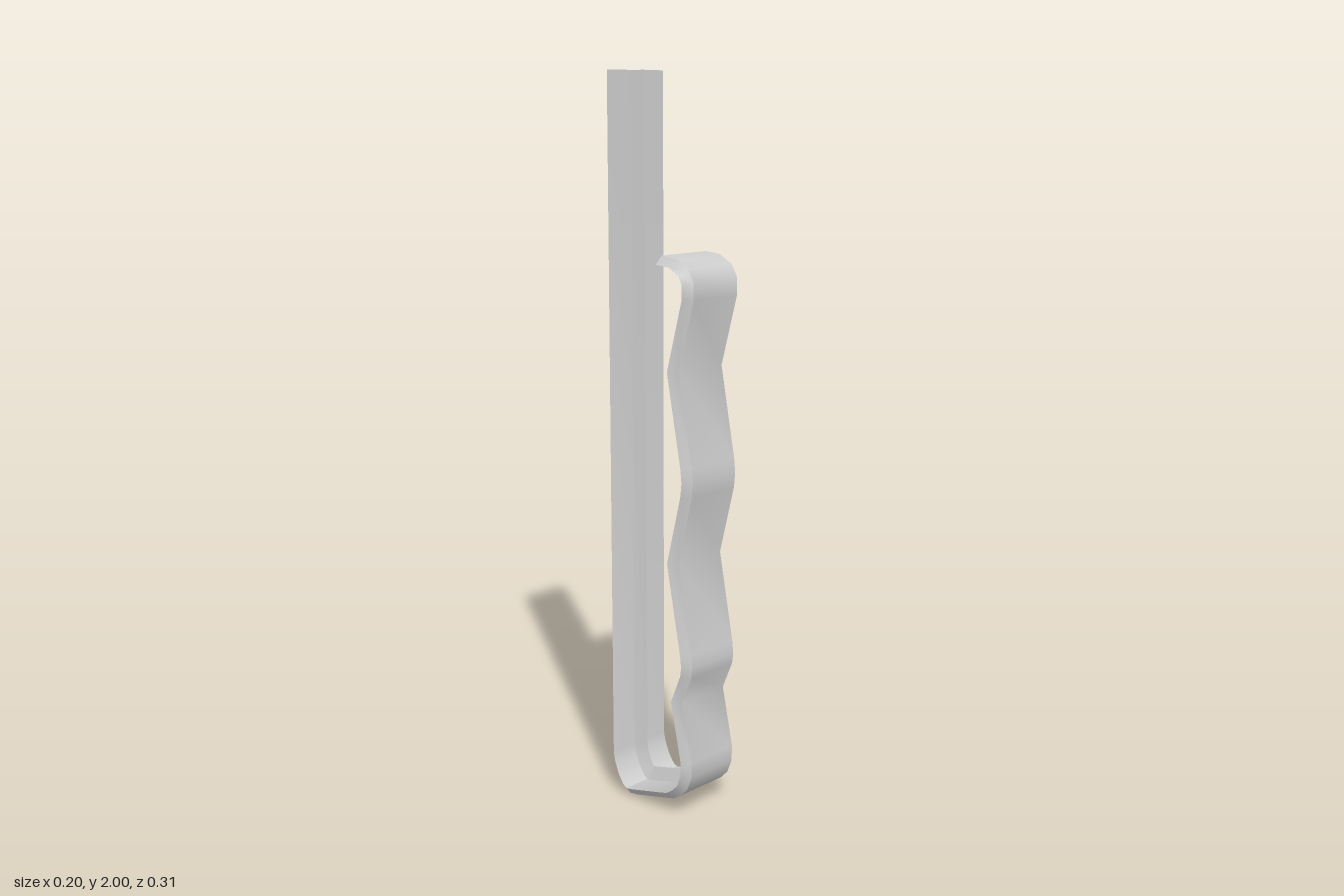
import * as THREE from 'three';
import { toCreasedNormals } from 'three/addons/utils/BufferGeometryUtils.js';

// Outer line of the bent strip as [z, y]: lip, wavy front arm, bottom bend, back arm
const PATH = [
  [0.043, 1.54], [0.095, 1.536], [0.138, 1.513], [0.157, 1.48],        // lip curl
  [0.157, 1.435], [0.104, 1.245],
  [0.153, 1.0], [0.157, 0.96], [0.153, 0.92], [0.104, 0.73],           // waves
  [0.153, 0.485], [0.157, 0.45], [0.153, 0.42], [0.119, 0.34],
  [0.156, 0.175], [0.155, 0.13], [0.139, 0.09], [0.115, 0.065], [0.088, 0.046], // front bend
  [-0.06, 0.005], [-0.088, 0.0], [-0.113, 0.015], [-0.135, 0.045], [-0.152, 0.085],
  [-0.158, 0.115], [-0.158, 2.0],                                     // back arm
].map(([z, y]) => new THREE.Vector2(z, y));

// Mitred inward direction at each path point
const MITRE = PATH.map((p, i) => {
  const normal = (a, b) => {
    const t = b.clone().sub(a).normalize();
    return new THREE.Vector2(t.y, -t.x);
  };
  const before = i > 0 ? normal(PATH[i - 1], p) : null;
  const after = i < PATH.length - 1 ? normal(p, PATH[i + 1]) : null;
  if (!before || !after) return before || after;
  return before.clone().add(after).divideScalar(1 + before.dot(after));
});

// Sweep a section of [x, depth] points along part of the path, with end caps
function sweep(name, section, from, to) {
  const n = section.length, positions = [], index = [];
  for (let i = from; i <= to; i++) {
    for (const [x, d] of section) {
      positions.push(x, PATH[i].y + MITRE[i].y * d, PATH[i].x + MITRE[i].x * d);
    }
  }
  const rings = to - from;
  for (let i = 0; i < rings; i++) {
    for (let j = 0; j < n; j++) {
      const a = i * n + j, b = i * n + (j + 1) % n;
      index.push(a, a + n, b + n, a, b + n, b);
    }
  }
  const end = rings * n;
  for (let k = 1; k < n - 1; k++) {
    index.push(0, k, k + 1, end, end + k + 1, end + k);
  }
  const geometry = new THREE.BufferGeometry();
  geometry.setAttribute('position', new THREE.Float32BufferAttribute(positions, 3));
  geometry.setIndex(index);
  const mesh = new THREE.Mesh(
    toCreasedNormals(geometry, 0.7),
    new THREE.MeshStandardMaterial({ color: 0xcccccc })
  );
  mesh.name = name;
  return mesh;
}

export function createModel() {
  const group = new THREE.Group();
  group.name = 'springClip';

  // Flat strip with chamfered outer edges
  const strip = [[-0.08, 0], [0.08, 0], [0.1, 0.022], [-0.1, 0.022]];
  // Triangular stiffening rib on the inner face
  const rib = (depth) => [[-0.018, 0.021], [0.018, 0.021], [0, depth]];

  group.add(
    sweep('bentStrip', strip, 0, PATH.length - 1),
    sweep('frontRib', rib(0.05), 3, 15),
    sweep('backRib', rib(0.057), 18, PATH.length - 1)
  );
  return group;
}
